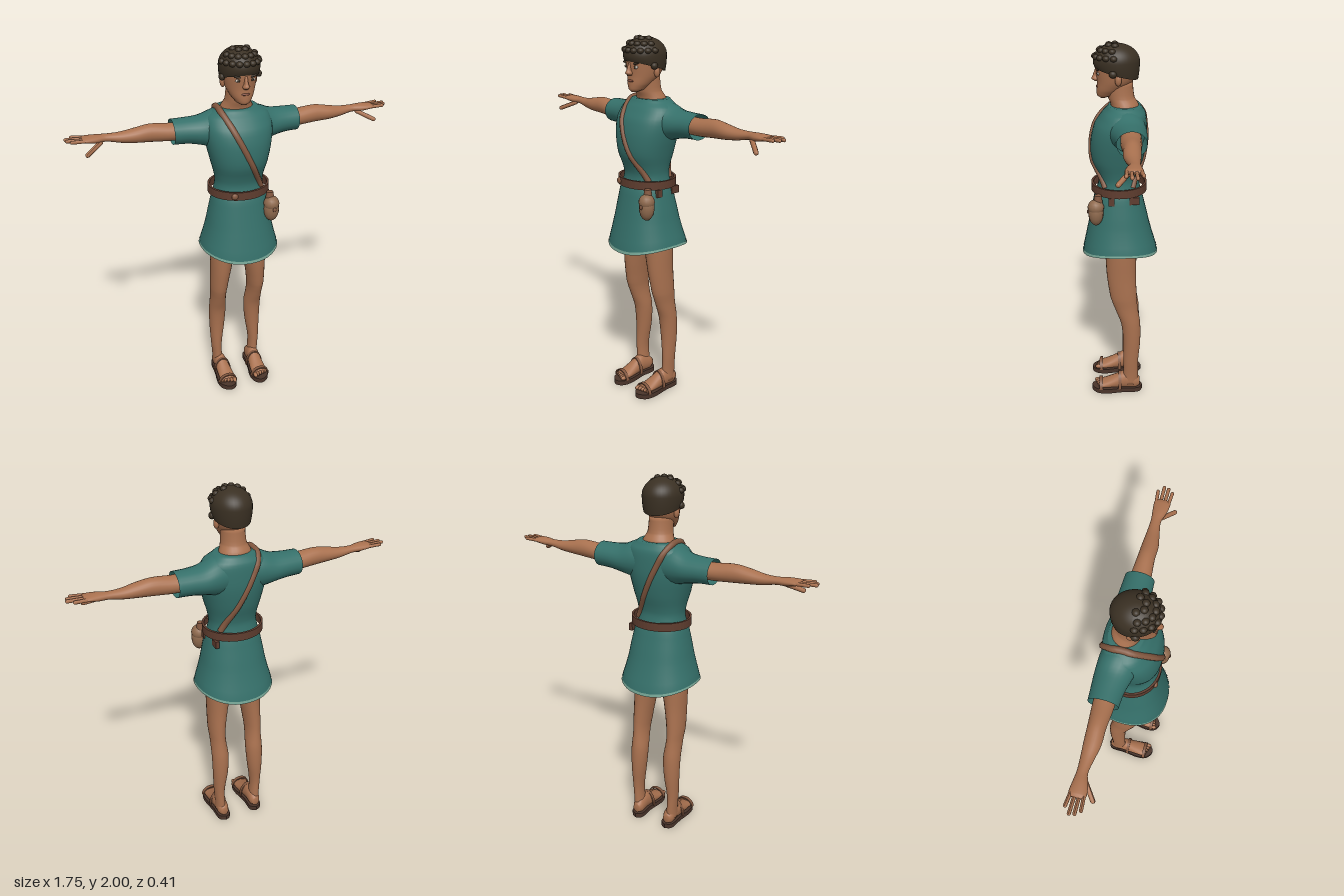
import * as THREE from 'three';

const mat = (name, color, side = THREE.FrontSide) => {
  const m = new THREE.MeshStandardMaterial({ color, side });
  m.name = name;
  return m;
};

// Resample rows [t, a, b, ra, rb] with a smooth spline
function smooth(rows, sub = 4) {
  const out = [];
  for (let i = 0; i < rows.length - 1; i++) {
    const p = [rows[Math.max(i - 1, 0)], rows[i], rows[i + 1], rows[Math.min(i + 2, rows.length - 1)]];
    for (let k = 0; k < sub; k++) {
      const u = k / sub;
      out.push(rows[i].map((_, c) => {
        if (c === 0) return p[1][0] + (p[2][0] - p[1][0]) * u;
        const m1 = (p[2][c] - p[0][c]) / 2, m2 = (p[3][c] - p[1][c]) / 2, d = p[2][c] - p[1][c];
        return p[1][c] + m1 * u + (3 * d - 2 * m1 - m2) * u * u + (m1 + m2 - 2 * d) * u * u * u;
      }));
    }
  }
  out.push(rows[rows.length - 1]);
  return out;
}

// Skin rounded cross-sections stacked along an axis (rows ascending)
function loft(axis, rows, { seg = 24, power = 2, capStart = true, capEnd = true } = {}) {
  const rings = smooth(rows), pos = [], idx = [];
  const put = (t, a, b) => pos.push(...(axis === 'x' ? [t, a, b] : axis === 'y' ? [a, t, b] : [a, b, t]));
  const pw = v => Math.sign(v) * Math.abs(v) ** (2 / power);
  const dir = axis === 'y' ? -1 : 1;
  for (const [t, a, b, ra, rb] of rings) {
    for (let j = 0; j < seg; j++) {
      const w = (j / seg) * Math.PI * 2;
      put(t, a + ra * pw(Math.cos(w)), b + dir * rb * pw(Math.sin(w)));
    }
  }
  for (let i = 0; i < rings.length - 1; i++) {
    for (let j = 0; j < seg; j++) {
      const a = i * seg + j, b = i * seg + (j + 1) % seg;
      idx.push(a, b, a + seg, b, b + seg, a + seg);
    }
  }
  const cap = (i, flip) => {
    const c = pos.length / 3;
    put(...rings[i].slice(0, 3));
    for (let j = 0; j < seg; j++) {
      const a = i * seg + j, b = i * seg + (j + 1) % seg;
      idx.push(c, flip ? b : a, flip ? a : b);
    }
  };
  if (capStart) cap(0, true);
  if (capEnd) cap(rings.length - 1, false);
  const g = new THREE.BufferGeometry();
  g.setAttribute('position', new THREE.Float32BufferAttribute(pos, 3));
  g.setIndex(idx);
  g.computeVertexNormals();
  return g;
}

// Move every vertex by a rule
function reshape(g, rule) {
  const p = g.attributes.position, v = new THREE.Vector3();
  for (let i = 0; i < p.count; i++) {
    rule(v.fromBufferAttribute(p, i));
    p.setXYZ(i, v.x, v.y, v.z);
  }
  g.computeVertexNormals();
  return g;
}

const blob = (x, y, z, rx, ry, rz, tilt = 0) =>
  new THREE.SphereGeometry(1, 16, 10).scale(rx, ry, rz).rotateZ(tilt).translate(x, y, z);

function finger(a, b, r) {
  const p = new THREE.Vector3(...a), d = new THREE.Vector3(...b).sub(p);
  const q = new THREE.Quaternion().setFromUnitVectors(new THREE.Vector3(0, 1, 0), d.clone().normalize());
  const g = new THREE.CapsuleGeometry(r, d.length(), 4, 10);
  return g.applyQuaternion(q).translate(p.x + d.x / 2, p.y + d.y / 2, p.z + d.z / 2);
}

function mirrored(g) {
  const m = g.clone().scale(-1, 1, 1), ix = m.index ? m.index.array : null;
  if (!ix) m.setIndex([...Array(m.attributes.position.count).keys()]);
  const a = m.index.array;
  for (let i = 0; i < a.length; i += 3) [a[i + 1], a[i + 2]] = [a[i + 2], a[i + 1]];
  m.computeVertexNormals();
  return m;
}

export function createModel() {
  const skin = mat('skin', 0xa9714f), cloth = mat('teal cloth', 0x35706a, THREE.DoubleSide);
  const trim = mat('hem trim', 0x75a494, THREE.DoubleSide), leather = mat('belt leather', 0x5f3d2f);
  const strapMat = mat('strap leather', 0x835840), pouchMat = mat('pouch leather', 0x8f6a4e);
  const soleMat = mat('sole', 0x4a342a), hairMat = mat('hair', 0x3a3023, THREE.DoubleSide);
  const white = mat('eye white', 0xd8cfc2), lip = mat('lips', 0x86503f);

  const model = new THREE.Group();
  const add = (name, g, m) => {
    const mesh = new THREE.Mesh(g, m);
    mesh.name = name;
    model.add(mesh);
  };
  const pair = (name, g, m) => {
    add(name + 'Left', g, m);
    add(name + 'Right', mirrored(g), m);
  };

  // Tunic: hem rises at the sides
  const tunic = [
    [0.87, 0, -0.002, 0.212, 0.203], [1.0, 0, 0.003, 0.186, 0.173], [1.1, 0, 0.005, 0.167, 0.15],
    [1.2, 0, 0.007, 0.147, 0.128], [1.26, 0, 0.005, 0.13, 0.109], [1.31, 0, 0.008, 0.129, 0.109],
    [1.4, 0, 0.012, 0.15, 0.137], [1.5, 0, 0.005, 0.172, 0.146], [1.58, 0, -0.005, 0.18, 0.136],
    [1.64, 0, -0.022, 0.165, 0.112], [1.68, 0, -0.026, 0.108, 0.084]];
  const hem = v => {
    if (v.y < 1.05) v.y += 0.035 * (v.x / 0.21) ** 2 * (1.05 - v.y) / 0.18;
  };
  add('tunic', reshape(loft('y', tunic, { seg: 40, power: 2.25, capStart: false }), hem), cloth);
  add('hemTrim', reshape(loft('y', [[0.868, 0, -0.002, 0.215, 0.206], [0.884, 0, -0.002, 0.212, 0.203]],
    { seg: 40, power: 2.25, capStart: false, capEnd: false }), hem), trim);
  pair('sleeve', loft('x', [[0.06, 1.57, -0.03, 0.1, 0.1], [0.12, 1.568, -0.035, 0.1, 0.1],
    [0.19, 1.563, -0.046, 0.077, 0.09], [0.26, 1.566, -0.052, 0.067, 0.08], [0.338, 1.567, -0.053, 0.065, 0.075]],
    { capEnd: false }), cloth);

  // Arms and hands
  pair('arm', loft('x', [[0.22, 1.57, -0.052, 0.045, 0.052], [0.34, 1.569, -0.05, 0.045, 0.052],
    [0.45, 1.577, -0.05, 0.046, 0.044], [0.53, 1.574, -0.048, 0.037, 0.042], [0.6, 1.572, -0.052, 0.027, 0.033],
    [0.67, 1.578, -0.055, 0.019, 0.026], [0.72, 1.58, -0.05, 0.02, 0.036], [0.77, 1.584, -0.048, 0.015, 0.042],
    [0.79, 1.585, -0.048, 0.009, 0.038]]), skin);
  [[-0.078, -0.086, 0.835], [-0.058, -0.06, 0.865], [-0.038, -0.036, 0.86], [-0.018, -0.012, 0.84]]
    .forEach(([z0, z1, x], i) => pair('finger' + i, finger([0.76, 1.584, z0], [x, 1.588, z1], 0.009), skin));
  pair('thumb', finger([0.7, 1.563, -0.035], [0.775, 1.527, 0.02], 0.012), skin);

  // Legs and feet
  pair('leg', loft('y', [[0.05, 0.108, -0.06, 0.032, 0.045], [0.12, 0.113, -0.062, 0.028, 0.042],
    [0.2, 0.116, -0.062, 0.031, 0.042], [0.33, 0.11, -0.067, 0.043, 0.048], [0.45, 0.107, -0.06, 0.048, 0.054],
    [0.55, 0.11, -0.035, 0.043, 0.064], [0.62, 0.11, -0.02, 0.047, 0.073], [0.75, 0.1, -0.008, 0.057, 0.08],
    [0.9, 0.088, -0.005, 0.071, 0.085], [1.05, 0.08, 0, 0.07, 0.085]]), skin);
  pair('foot', loft('z', [[-0.115, 0.103, 0.055, 0.022, 0.025], [-0.09, 0.104, 0.06, 0.033, 0.045],
    [-0.03, 0.104, 0.07, 0.036, 0.055], [0.02, 0.102, 0.058, 0.04, 0.042], [0.07, 0.1, 0.046, 0.044, 0.028],
    [0.115, 0.1, 0.04, 0.044, 0.017]]), skin);
  for (let i = 0; i < 5; i++) {
    pair('toe' + i, blob(0.066 + i * 0.017, 0.041, 0.127 - i * 0.006, i ? 0.009 : 0.012, 0.012, 0.02), skin);
  }

  // Sandals
  const outline = new THREE.Shape(new THREE.SplineCurve([[0.1, 0.13], [0.067, 0.105], [0.065, 0.02], [0.048, -0.08],
    [0.06, -0.14], [0.1, -0.162], [0.144, -0.13], [0.154, -0.07], [0.142, 0.02], [0.137, 0.105], [0.1, 0.13]]
    .map(p => new THREE.Vector2(...p))).getPoints(44));
  pair('sole', new THREE.ExtrudeGeometry(outline, { depth: 0.028, bevelEnabled: false }).rotateX(-Math.PI / 2), soleMat);
  const arch = (rx, h, z, w) => {
    const s = new THREE.Shape().absellipse(0, 0, rx, h, 0, Math.PI, false);
    s.absellipse(0, 0, rx - 0.006, h - 0.006, Math.PI, 0, true);
    return new THREE.ExtrudeGeometry(s, { depth: w, bevelEnabled: false, curveSegments: 16 }).translate(0.101, 0.027, z);
  };
  pair('instepStrap', arch(0.051, 0.09, -0.008, 0.018), strapMat);
  pair('toeStrap', arch(0.054, 0.05, 0.1, 0.02), strapMat);

  // Belt with knot and loops
  const ring = new THREE.Shape().absellipse(0, 0, 0.165, 0.148, 0, Math.PI * 2);
  ring.holes.push(new THREE.Path().absellipse(0, 0, 0.153, 0.136, 0, Math.PI * 2, true));
  add('belt', new THREE.ExtrudeGeometry(ring, { depth: 0.044, bevelEnabled: false, curveSegments: 24 })
    .rotateX(-Math.PI / 2).translate(0, 1.223, 0.003), leather);
  add('beltKnot', blob(-0.065, 1.245, 0.139, 0.018, 0.018, 0.012), strapMat);
  for (const [x, z, w] of [[0.145, 0.045, 0.03], [0.132, -0.075, 0.05]]) {
    add('beltLoop', new THREE.BoxGeometry(0.02, 0.04, w).translate(x, 1.2, z), leather);
  }

  // Pouch hanging from the belt
  add('pouch', blob(0.143, 1.138, 0.127, 0.042, 0.068, 0.04), pouchMat);
  add('pouchFlap', blob(0.143, 1.17, 0.127, 0.042, 0.042, 0.043), pouchMat);
  add('pouchButton', blob(0.146, 1.148, 0.168, 0.01, 0.012, 0.006), strapMat);
  add('pouchTie', new THREE.CylinderGeometry(0.018, 0.024, 0.04, 12).translate(0.138, 1.215, 0.115), strapMat);

  // Shoulder strap follows the torso front and back
  const section = y => {
    const rows = smooth(tunic), i = Math.max(1, rows.findIndex(r => r[0] >= y));
    const u = (y - rows[i - 1][0]) / (rows[i][0] - rows[i - 1][0]);
    return rows[i].map((v, c) => rows[i - 1][c] + (v - rows[i - 1][c]) * u);
  };
  const side = s => Array.from({ length: 10 }, (_, i) => {
    const u = i / 9, y = 1.67 - 0.41 * u, x = -0.1 + 0.2 * u, [, , cz, rx, rz] = section(y);
    const k = Math.max(0, 1 - Math.abs(x / rx) ** 2.25) ** (1 / 2.25);
    return new THREE.Vector3(x, y, cz + s * (rz * k - 0.006));
  });
  const loop = new THREE.CatmullRomCurve3([...side(1).reverse(), new THREE.Vector3(-0.1, 1.677, -0.026), ...side(-1)]);
  add('shoulderStrap', new THREE.TubeGeometry(loop, 64, 0.017, 8), strapMat);

  // Neck and head
  add('neck', loft('y', [[1.64, 0, -0.03, 0.1, 0.075], [1.685, 0, -0.025, 0.082, 0.072],
    [1.72, 0, -0.008, 0.066, 0.068], [1.8, 0, 0.003, 0.062, 0.07]]), skin);
  add('head', loft('y', [[1.718, 0, 0.085, 0.016, 0.016], [1.73, 0, 0.07, 0.036, 0.045], [1.76, 0, 0.05, 0.058, 0.067],
    [1.8, 0, 0.025, 0.076, 0.09], [1.85, 0, 0.015, 0.086, 0.105], [1.9, 0, 0.015, 0.09, 0.106],
    [1.95, 0, 0.018, 0.075, 0.088], [1.975, 0, 0.018, 0.04, 0.05]], { seg: 32 }), skin);
  add('nose', loft('y', [[1.803, 0, 0.115, 0.012, 0.012], [1.814, 0, 0.12, 0.018, 0.022],
    [1.83, 0, 0.117, 0.011, 0.019], [1.868, 0, 0.112, 0.008, 0.011]]), skin);
  add('mouth', blob(0, 1.776, 0.114, 0.024, 0.006, 0.006), lip);
  pair('ear', blob(0.084, 1.82, 0.008, 0.014, 0.028, 0.017), skin);
  pair('eye', blob(0.036, 1.846, 0.107, 0.016, 0.008, 0.006), white);
  pair('iris', blob(0.035, 1.846, 0.111, 0.007, 0.008, 0.004), hairMat);
  pair('brow', blob(0.037, 1.864, 0.11, 0.024, 0.006, 0.007, 0.18), hairMat);

  // Hair cap, low at the nape, with curls over the brow and crown
  const cap = reshape(new THREE.SphereGeometry(1, 36, 20, 0, Math.PI * 2, 0, Math.PI * 0.62), v => {
    const drop = v.y < 0 ? (v.y / 0.37) * (0.0575 - 0.0325 * v.z) : v.y * 0.09;
    v.set(v.x * 0.103, 1.9 + drop, 0.016 + v.z * 0.118);
  });
  add('hairCap', cap, hairMat);
  for (const [tilt, count, spread] of [[72, 9, 82], [48, 7, 75], [22, 4, 80]]) {
    for (let i = 0; i < count; i++) {
      const t = tilt * Math.PI / 180, w = (-1 + 2 * i / (count - 1)) * spread * Math.PI / 180;
      add('curl', blob(0.099 * Math.sin(t) * Math.sin(w), 1.9 + 0.087 * Math.cos(t),
        0.016 + 0.114 * Math.sin(t) * Math.cos(w), 0.018, 0.015, 0.018), hairMat);
    }
  }
  pair('sideCurl', blob(0.096, 1.852, 0.035, 0.016, 0.018, 0.02), hairMat);
  return model;
}
